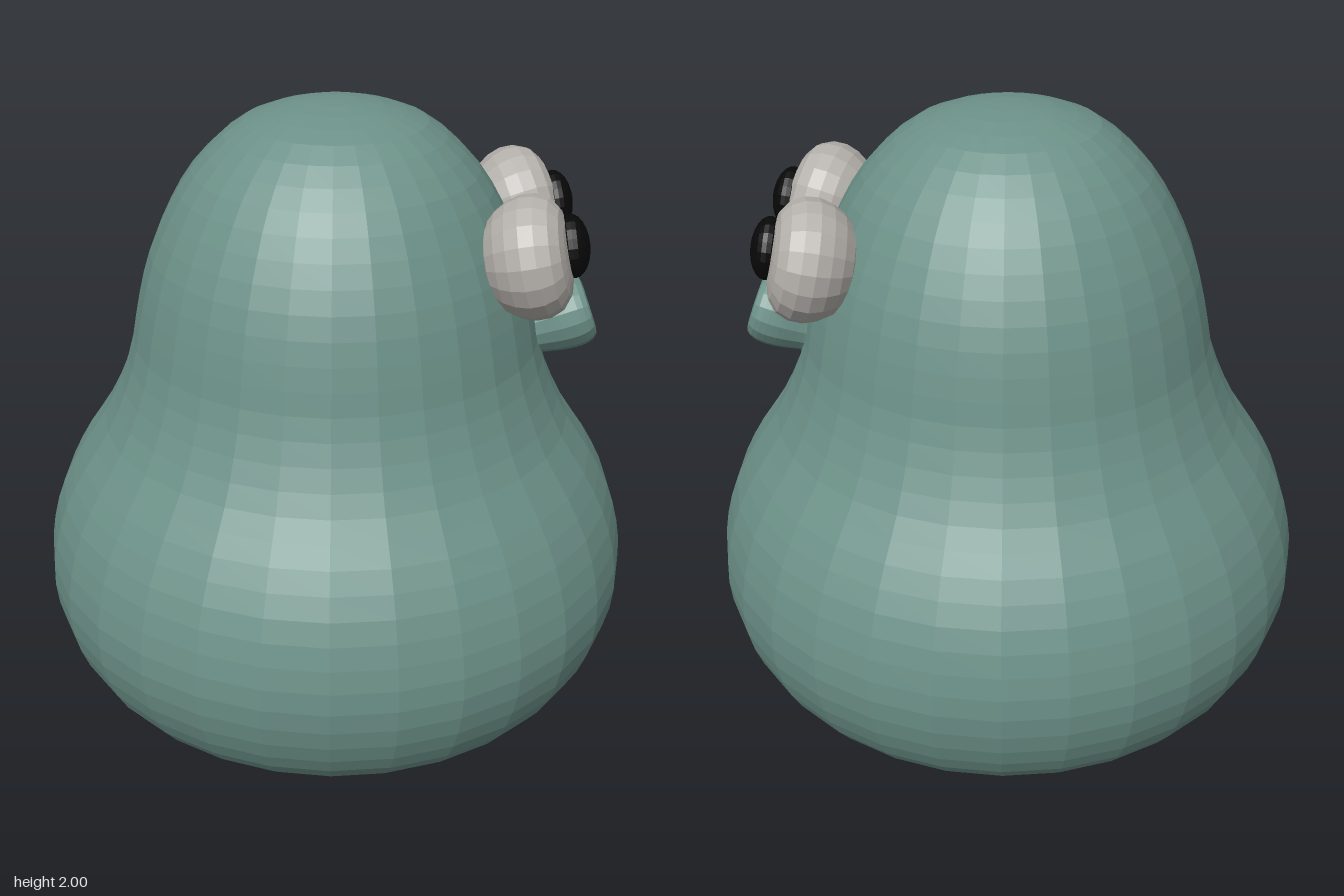
import * as THREE from 'three';

const bodyMaterial = new THREE.MeshStandardMaterial({ color: 0x6c9188, flatShading: true });
bodyMaterial.name = 'sea green';
const eyeMaterial = new THREE.MeshStandardMaterial({ color: 0xb4b0ab, flatShading: true });
eyeMaterial.name = 'pale grey';
const pupilMaterial = new THREE.MeshStandardMaterial({ color: 0x080808, flatShading: true });
pupilMaterial.name = 'black';

// Turns [radius, height] points, listed bottom to top, into a smooth solid of revolution.
function turned(name, points, rows, sides, material) {
  const curve = new THREE.SplineCurve(points.map(([r, y]) => new THREE.Vector2(r, y)));
  const profile = curve.getSpacedPoints(rows);
  profile.forEach(p => { p.x = Math.max(p.x, 0); });
  const mesh = new THREE.Mesh(new THREE.LatheGeometry(profile, sides), material);
  mesh.name = name;
  return mesh;
}

// Points a mesh's own +y axis along a direction.
function aim(mesh, x, y, z) {
  mesh.quaternion.setFromUnitVectors(new THREE.Vector3(0, 1, 0), new THREE.Vector3(x, y, z).normalize());
  return mesh;
}

export function createModel() {
  const model = new THREE.Group();
  model.name = 'blobCreature';

  // Pear-shaped body
  model.add(turned('body', [
    [0, 0.005], [0.36, 0.01], [0.56, 0.03], [0.71, 0.08], [0.82, 0.165], [0.89, 0.27],
    [0.932, 0.39], [0.945, 0.51], [0.93, 0.63], [0.89, 0.76], [0.82, 0.89], [0.745, 1.0],
    [0.685, 1.12], [0.64, 1.25], [0.612, 1.39], [0.575, 1.53], [0.52, 1.66], [0.45, 1.78],
    [0.37, 1.87], [0.28, 1.94], [0.17, 1.98], [0.08, 1.996], [0, 2],
  ], 44, 30, bodyMaterial));

  // Eyes with flattened fronts, and domed pupils
  for (const side of [1, -1]) {
    const eye = aim(turned('eyeball', [
      [0, -0.14], [0.07, -0.13], [0.135, -0.09], [0.175, -0.03], [0.185, 0.025],
      [0.172, 0.075], [0.14, 0.108], [0.09, 0.122], [0, 0.126],
    ], 12, 18, eyeMaterial), 1, 0.24, side * 0.2);
    eye.position.set(0.56, 1.6, side * 0.24);

    const pupil = new THREE.Mesh(new THREE.SphereGeometry(0.095, 20, 12), pupilMaterial);
    pupil.name = 'pupil';
    pupil.scale.y = 0.55;
    aim(pupil, 1, 0.16, side * 0.06);
    pupil.position.set(0.693, 1.627, side * 0.21);
    model.add(eye, pupil);
  }

  // Short snout with a rolled rim and a hollow end
  const snout = aim(turned('snout', [
    [0, -0.02], [0.08, -0.015], [0.1, 0.05], [0.113, 0.12], [0.112, 0.175],
    [0.097, 0.205], [0.075, 0.212], [0.052, 0.2], [0.042, 0.17], [0.036, 0.13], [0, 0.12],
  ], 24, 16, bodyMaterial), 0.93, 0.34, 0);
  snout.position.set(0.592, 1.282, 0);
  model.add(snout);

  return model;
}
